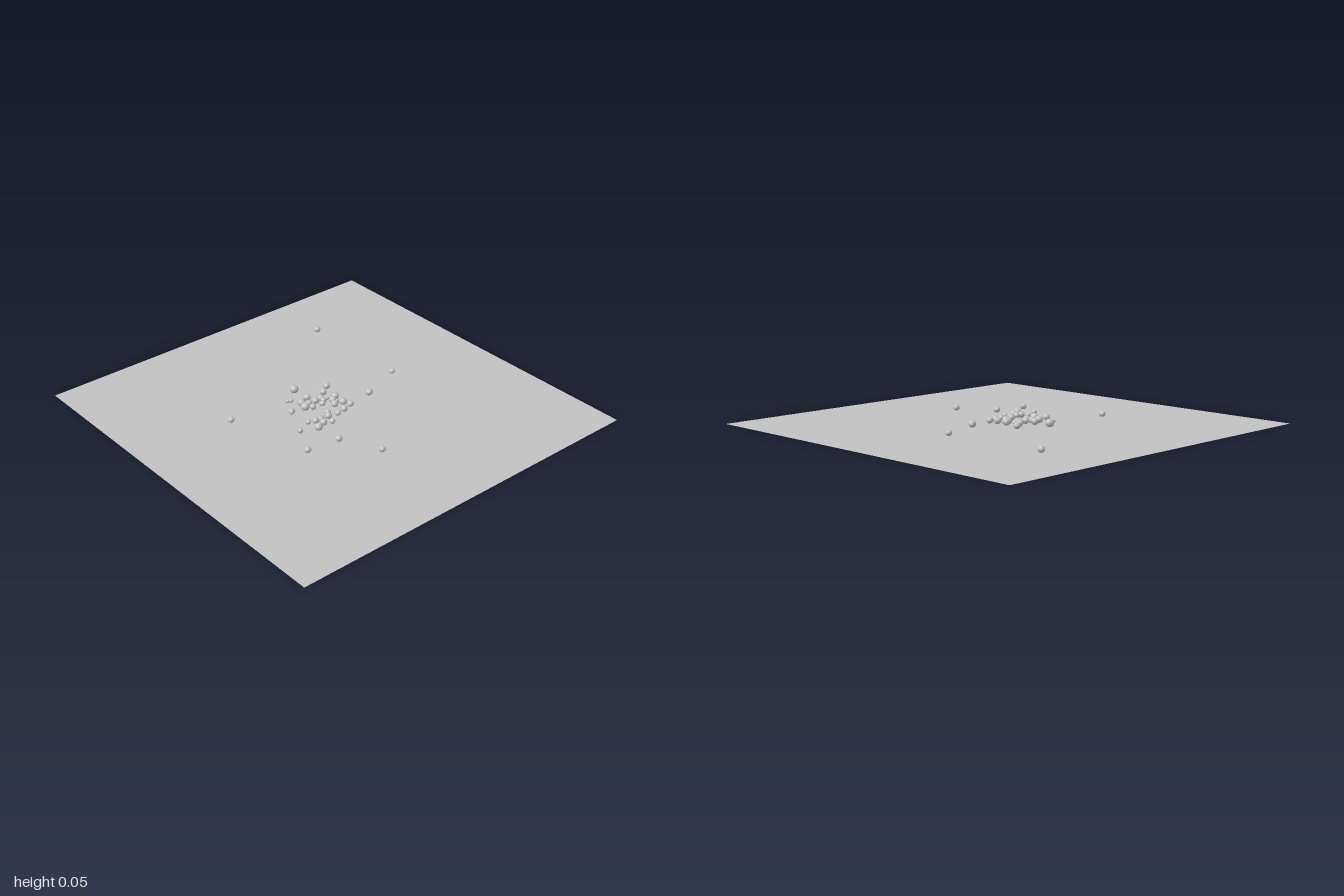
import * as THREE from 'three';

// Each pebble: x, z, radius
const PEBBLES = [
  [-0.645, -0.44, 0.018], [-0.05, -0.452, 0.016], [0.033, -0.218, 0.02], [-0.154, -0.094, 0.019],
  [-0.12, -0.043, 0.018], [-0.05, -0.062, 0.02], [0.015, -0.06, 0.019], [0.054, -0.076, 0.018],
  [-0.03, -0.03, 0.019], [0.005, -0.013, 0.019], [0.07, -0.02, 0.018], [-0.085, 0.003, 0.016],
  [-0.06, 0.006, 0.016], [-0.04, 0.03, 0.016], [-0.08, 0.042, 0.018], [0.077, 0.028, 0.016],
  [-0.23, 0.058, 0.023], [-0.132, 0.054, 0.019], [-0.085, 0.08, 0.017], [-0.045, 0.088, 0.017],
  [0.04, 0.063, 0.017], [0.069, 0.083, 0.018], [0.117, 0.097, 0.015], [-0.11, 0.108, 0.02],
  [-0.064, 0.122, 0.023], [0.065, 0.127, 0.017], [0.1, 0.14, 0.019], [0.062, 0.158, 0.018],
  [0.12, 0.188, 0.021], [-0.08, 0.196, 0.018], [0.045, 0.192, 0.014], [0.259, 0.177, 0.018],
  [0.461, 0.077, 0.017], [0.081, 0.272, 0.015], [0.237, 0.353, 0.018], [-0.213, 0.471, 0.017],
  [-0.165, 0.13, 0.013], [-0.172, 0.147, 0.011], [-0.071, 0.203, 0.01], [-0.065, -0.02, 0.011],
  [-0.012, -0.043, 0.011],
];

export function createModel() {
  const model = new THREE.Group();
  model.name = 'pebblesOnSheet';

  const grey = new THREE.MeshStandardMaterial({ color: 0xc0c0c0, side: THREE.DoubleSide });
  grey.name = 'grey';

  // Flat square ground sheet
  const sheet = new THREE.Mesh(new THREE.PlaneGeometry(2, 2).rotateX(-Math.PI / 2), grey);
  sheet.name = 'groundSheet';
  model.add(sheet);

  // Scattered rounded pebbles, slightly flattened and turned
  const pebbles = new THREE.Group();
  pebbles.name = 'pebbles';
  const ball = new THREE.SphereGeometry(1, 20, 14);
  PEBBLES.forEach(([x, z, r], i) => {
    const pebble = new THREE.Mesh(ball, grey);
    pebble.name = `pebble${i + 1}`;
    pebble.scale.set(r, r * 0.92, r * 0.97);
    pebble.rotation.y = i * 1.7;
    pebble.position.set(x, Math.max(r, 0.014) + 0.003, z);
    pebbles.add(pebble);
  });
  model.add(pebbles);
  return model;
}
